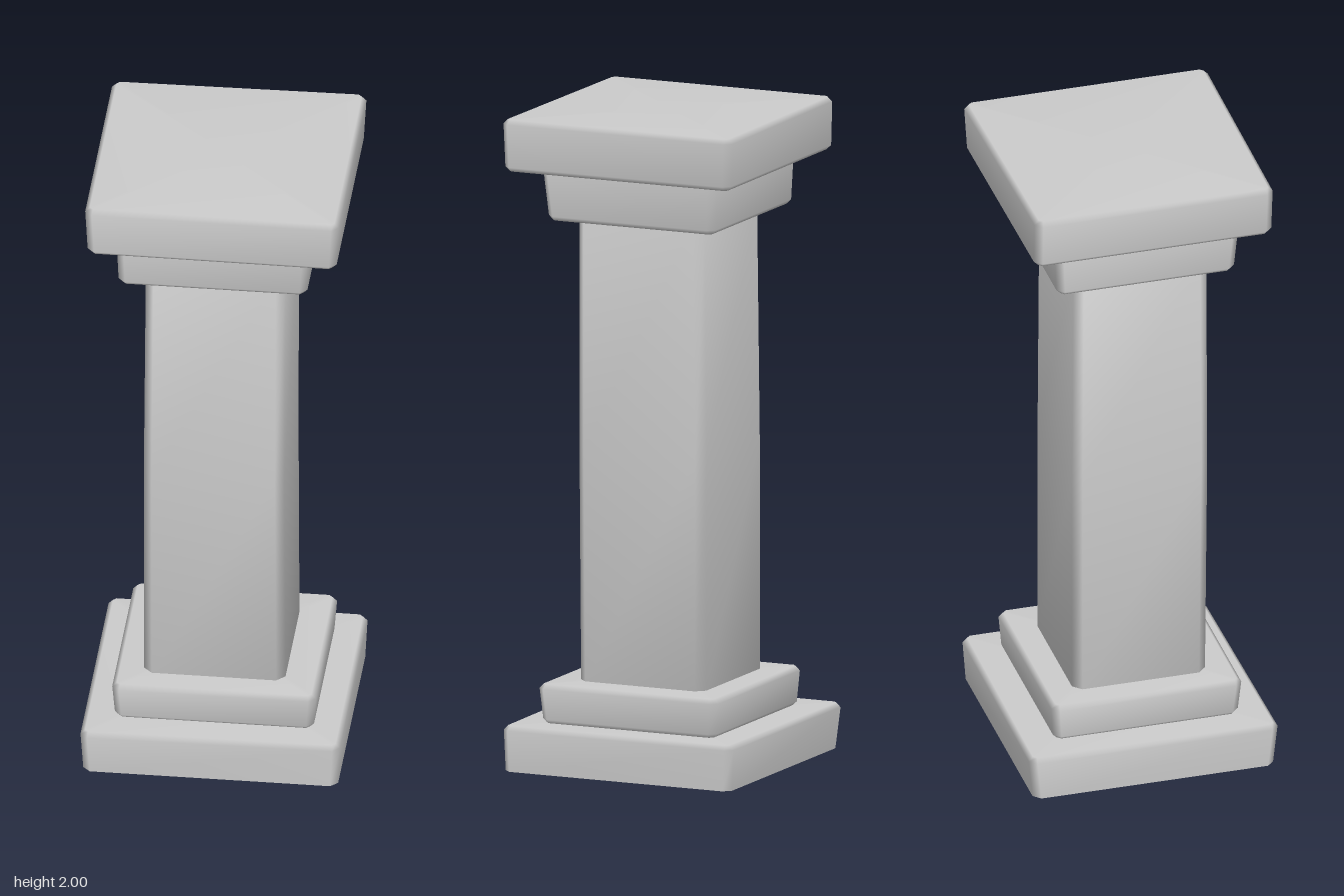
import * as THREE from 'three';

const material = new THREE.MeshStandardMaterial({ color: 0xcccccc });

// Four corners [x, z], running front left, front right, back right, back left as seen from above
const rect = (x0, x1, z0, z1) => [[x0, z1], [x1, z1], [x1, z0], [x0, z0]];

// Pull every corner inwards
const inset = (corners, d) => corners.map(([x, z]) => [x - Math.sign(x) * d, z - Math.sign(z) * d]);

// Cut each corner off, turning the quad into an octagon
function octagon(corners, cut) {
  const toward = (a, b) => {
    const t = cut / Math.hypot(b[0] - a[0], b[1] - a[1]);
    return [a[0] + (b[0] - a[0]) * t, a[1] + (b[1] - a[1]) * t];
  };
  return corners.flatMap((c, i) => [toward(c, corners[(i + 3) % 4]), toward(c, corners[(i + 1) % 4])]);
}

// Smooth loft through rings { y, corners, cut }, closed at both ends
function loft(name, rings, flatBottom = false) {
  const pos = [], index = [], n = 8;
  const addRing = ({ y, corners, cut }) => {
    const start = pos.length / 3;
    for (const [x, z] of octagon(corners, cut)) pos.push(x, y, z);
    return start;
  };
  const starts = rings.map(addRing);
  for (let r = 0; r < starts.length - 1; r++) {
    for (let i = 0; i < n; i++) {
      const j = (i + 1) % n, a = starts[r], b = starts[r + 1];
      index.push(a + i, a + j, b + j, a + i, b + j, b + i);
    }
  }
  const cap = (start, ring, up) => {
    const centre = pos.length / 3;
    const mean = k => ring.corners.reduce((s, c) => s + c[k] / 4, 0);
    pos.push(mean(0), ring.y, mean(1));
    for (let i = 0; i < n; i++) {
      const j = (i + 1) % n;
      index.push(centre, start + (up ? i : j), start + (up ? j : i));
    }
  };
  // A flat bottom gets its own ring, so its edge stays sharp
  cap(flatBottom ? addRing(rings[0]) : starts[0], rings[0], false);
  cap(starts.at(-1), rings.at(-1), true);

  const geometry = new THREE.BufferGeometry();
  geometry.setAttribute('position', new THREE.Float32BufferAttribute(pos, 3));
  geometry.setIndex(index);
  geometry.computeVertexNormals();
  const mesh = new THREE.Mesh(geometry, material);
  mesh.name = name;
  return mesh;
}

// Slab with bevelled edges, slightly uneven like hand-cut stone
function slab(name, y0, y1, bottom, top, flatBottom = false) {
  const b = 0.014, cut = 0.022;
  const rings = [
    { y: y0 + b, corners: bottom, cut },
    { y: y1 - b, corners: top, cut },
    { y: y1, corners: inset(top, b), cut: 0.01 },
  ];
  if (flatBottom) rings[0].y = y0;
  else rings.unshift({ y: y0, corners: inset(bottom, b), cut: 0.01 });
  return loft(name, rings, flatBottom);
}

export function createModel() {
  const group = new THREE.Group();
  group.name = 'column';

  // Stepped foot
  group.add(slab('base', 0, 0.14,
    rect(-0.388, 0.385, -0.378, 0.376),
    [[-0.395, 0.388], [0.391, 0.379], [0.391, -0.386], [-0.395, -0.392]], true));
  group.add(slab('plinth', 0.138, 0.26,
    rect(-0.302, 0.302, -0.29, 0.29),
    rect(-0.309, 0.309, -0.297, 0.299)));

  // Shaft with a middle ring that gives it a slight bow
  const cut = 0.026;
  group.add(loft('shaft', [
    { y: 0.25, corners: rect(-0.223, 0.206, -0.206, 0.211), cut },
    { y: 0.97, corners: rect(-0.223, 0.203, -0.206, 0.218), cut },
    { y: 1.69, corners: rect(-0.217, 0.206, -0.2, 0.217), cut },
  ]));

  // Flared neck and top slab
  group.add(slab('neck', 1.68, 1.842,
    rect(-0.292, 0.281, -0.276, 0.281),
    rect(-0.296, 0.291, -0.282, 0.294)));
  group.add(slab('capital', 1.84, 2,
    [[-0.375, 0.374], [0.381, 0.379], [0.381, -0.375], [-0.375, -0.37]],
    [[-0.382, 0.376], [0.388, 0.382], [0.388, -0.382], [-0.382, -0.37]]));

  return group;
}
